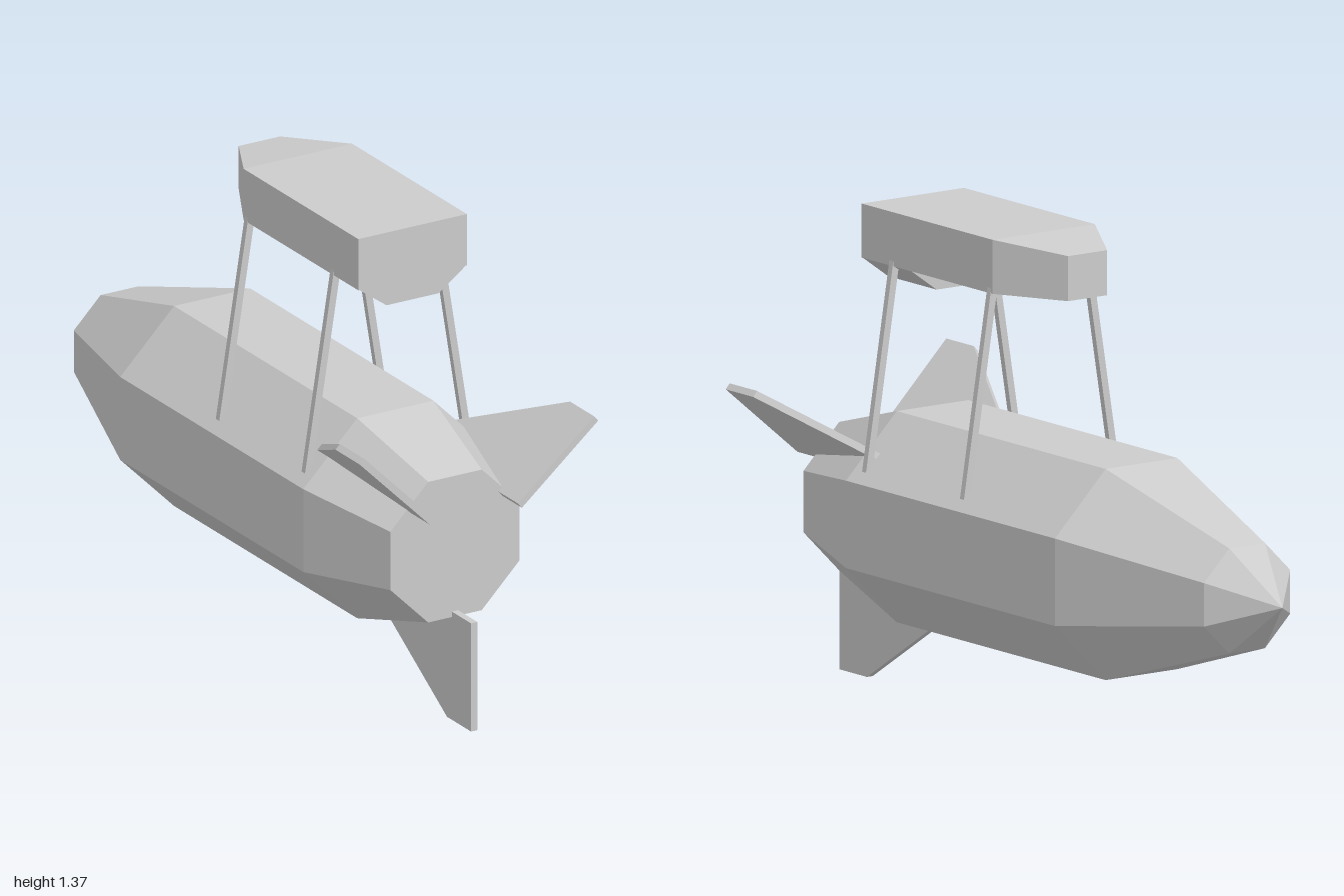
import * as THREE from 'three';

const CX = -0.016; // lengthwise axis of the hull
const CY = 0.51;
const grey = new THREE.MeshStandardMaterial({ color: 0xcccccc, flatShading: true, side: THREE.DoubleSide });

function add(parent, name, geometry) {
  const mesh = new THREE.Mesh(geometry, grey);
  mesh.name = name;
  parent.add(mesh);
  return mesh;
}

// Skin a list of rings (counterclockwise seen from the last ring) and cap both ends
function loft(rings) {
  const pos = [];
  const tri = (...corners) => corners.forEach((p) => pos.push(...p));
  const n = rings[0].length;
  for (let i = 0; i < rings.length - 1; i++) {
    const lo = rings[i], hi = rings[i + 1];
    for (let j = 0; j < n; j++) {
      const k = (j + 1) % n;
      tri(lo[j], lo[k], hi[k]);
      tri(lo[j], hi[k], hi[j]);
    }
  }
  const first = rings[0], last = rings[rings.length - 1];
  for (let j = 1; j < n - 1; j++) {
    tri(first[0], first[j + 1], first[j]);
    tri(last[0], last[j], last[j + 1]);
  }
  const g = new THREE.BufferGeometry();
  g.setAttribute('position', new THREE.Float32BufferAttribute(pos, 3));
  g.computeVertexNormals();
  return g;
}

// Octagonal hull: [z, distance from axis to a flat side]
function hullGeometry() {
  const profile = [[-1, 0.0005], [-0.84, 0.146], [-0.36, 0.293], [0.59, 0.293], [0.9, 0.206]];
  return loft(profile.map(([z, flat]) => Array.from({ length: 8 }, (_, i) => {
    const a = (i + 0.5) * Math.PI / 4;
    const r = flat / Math.cos(Math.PI / 8);
    return [r * Math.cos(a), CY + r * Math.sin(a), z];
  })));
}

// Canopy shell, hollow below, with a narrowed and lowered nose
function canopyGeometry() {
  const ring = (inset, yFull, yNose) => {
    const w = 0.173 - inset, n = 0.066 - inset * 0.6;
    const end = 0.68 - inset, nose = -0.115 + inset;
    return [
      [w, yFull, 0.085], [n, yNose, nose], [-n, yNose, nose],
      [-w, yFull, 0.085], [-w, yFull, end], [w, yFull, end],
    ];
  };
  return loft([
    ring(0.012, 1.358, 1.333), ring(0.012, 1.22, 1.22),
    ring(0, 1.22, 1.22), ring(0, 1.37, 1.345),
  ]);
}

// Tapered block under one end of the canopy
function chinGeometry() {
  const outline = [[-0.173, 1.222], [-0.083, 1.157], [0.083, 1.157], [0.173, 1.222]];
  return loft([0.46, 0.68].map((z) => outline.map(([x, y]) => [x, y, z])));
}

// Fin pointing along +x from the hull axis, thin in y
function finGeometry() {
  const s = new THREE.Shape();
  [[0.19, 1], [0.19, 0.37], [0.507, 0.875], [0.507, 1]].forEach(([r, z], i) =>
    i ? s.lineTo(r, z) : s.moveTo(r, z));
  const g = new THREE.ExtrudeGeometry(s, { depth: 0.02, bevelEnabled: false });
  return g.translate(0, 0, -0.01).rotateX(Math.PI / 2);
}

export function createModel() {
  const model = new THREE.Group();
  model.name = 'rocketCraft';
  const craft = new THREE.Group();
  craft.name = 'craft';
  craft.position.x = CX;
  model.add(craft);

  add(craft, 'hull', hullGeometry());
  add(craft, 'canopy', canopyGeometry());
  add(craft, 'canopyChin', chinGeometry());

  // Four leaning struts between hull and canopy
  const up = new THREE.Vector3(0, 1, 0);
  for (const z of [0.545, 0.1]) {
    for (const side of [-1, 1]) {
      const foot = new THREE.Vector3(side * 0.257, 0.645, z);
      const head = new THREE.Vector3(side * 0.162, 1.237, z);
      const dir = head.clone().sub(foot);
      const strut = add(craft, side > 0 ? 'leftStrut' : 'rightStrut',
        new THREE.BoxGeometry(0.021, dir.length(), 0.018));
      strut.position.copy(foot).add(head).multiplyScalar(0.5);
      strut.quaternion.setFromUnitVectors(up, dir.normalize());
    }
  }

  // Three tail fins around the axis
  for (const [name, degrees] of [['leftFin', 40], ['rightFin', 135], ['bottomFin', -90]]) {
    const fin = add(craft, name, finGeometry());
    fin.position.y = CY;
    fin.rotation.z = THREE.MathUtils.degToRad(degrees);
  }
  return model;
}
